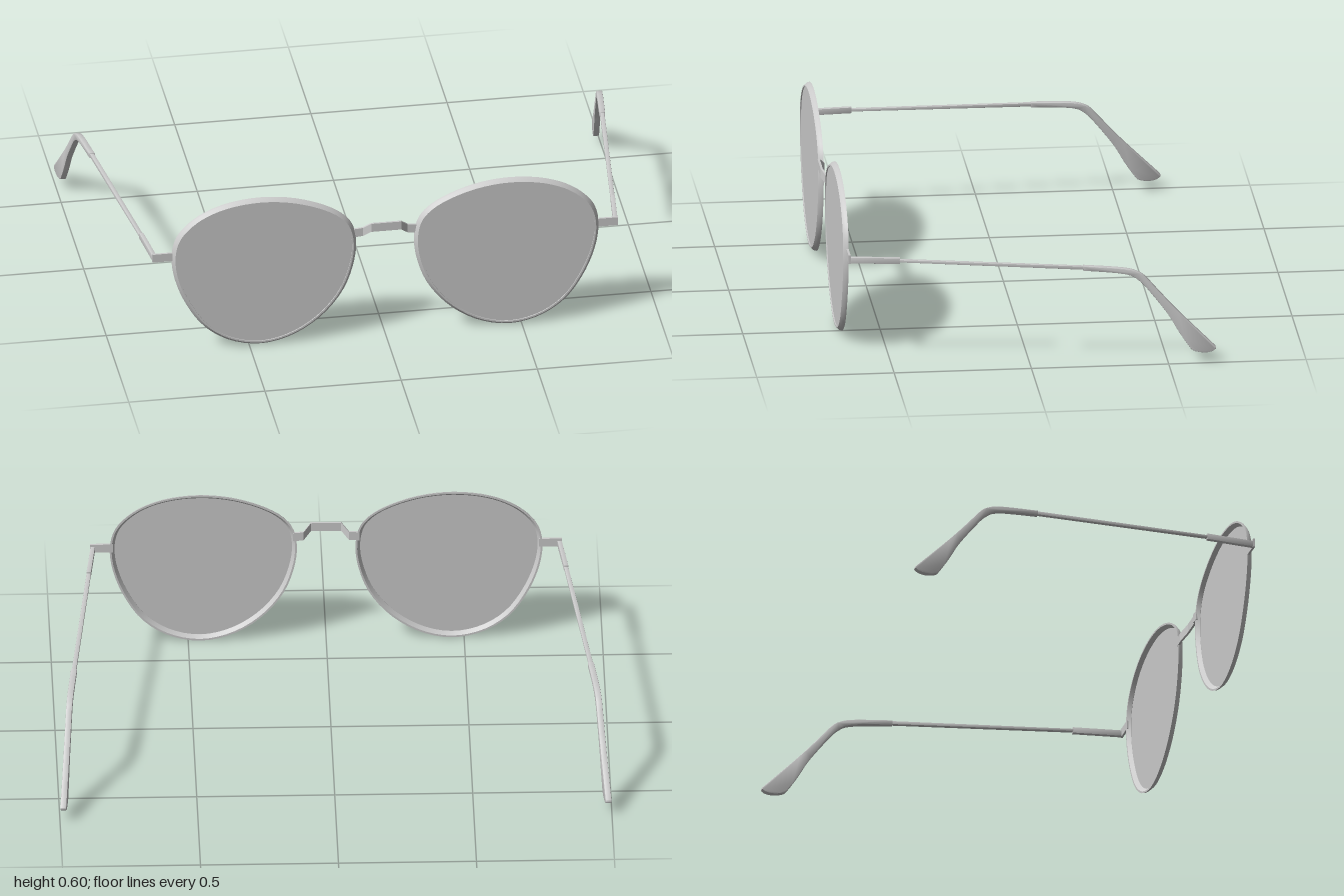
import * as THREE from 'three';
import { toCreasedNormals } from 'three/addons/utils/BufferGeometryUtils.js';

const material = new THREE.MeshStandardMaterial({ color: 0xcccccc });
const lensMaterial = new THREE.MeshStandardMaterial({ color: 0xcccccc, side: THREE.DoubleSide });
const BACK = 0.643, FRONT = 0.662;   // depth range of the rims
const LENS_CENTER = [0.446, 0.31];

// Lens outline, counter-clockwise from the outer side
const OUTLINE = [
  [0.784, 0.40], [0.768, 0.468], [0.73, 0.518], [0.67, 0.562], [0.58, 0.596], [0.46, 0.61],
  [0.34, 0.597], [0.23, 0.56], [0.16, 0.518], [0.122, 0.472], [0.106, 0.40], [0.115, 0.31],
  [0.155, 0.20], [0.235, 0.10], [0.34, 0.032], [0.455, 0.006], [0.57, 0.03], [0.665, 0.095],
  [0.735, 0.20], [0.775, 0.31],
];

function add(group, name, geometry, mat = material) {
  const mesh = new THREE.Mesh(geometry, mat);
  mesh.name = name;
  group.add(mesh);
}

// Smooth outline for one side, pulled in towards the lens centre
function outline(side, inset) {
  const curve = new THREE.CatmullRomCurve3(
    OUTLINE.map(([x, y]) => new THREE.Vector3(x, y, 0)), true);
  const pts = curve.getPoints(72).slice(0, -1).map((p) => {
    const dx = p.x - LENS_CENTER[0], dy = p.y - LENS_CENTER[1];
    const k = 1 - inset / Math.hypot(dx, dy);
    return new THREE.Vector2(side * (LENS_CENTER[0] + dx * k), LENS_CENTER[1] + dy * k);
  });
  return side < 0 ? pts.reverse() : pts;
}

// Thin band that narrows towards the front
function rimGeometry(side) {
  const section = [[0, BACK], [0.002, 0.651], [0.012, FRONT], [0.018, FRONT], [0.018, 0.657], [0.007, BACK]];
  const rings = section.map(([inset, z]) => outline(side, inset).map((p) => [p.x, p.y, z]));
  const n = rings[0].length, m = rings.length, index = [];
  for (let r = 0; r < m; r++) {
    for (let i = 0; i < n; i++) {
      const j = (i + 1) % n, q = (r + 1) % m;
      const a = r * n + i, b = r * n + j, c = q * n + j, d = q * n + i;
      index.push(a, b, c, a, c, d);
    }
  }
  const geometry = new THREE.BufferGeometry();
  geometry.setAttribute('position', new THREE.Float32BufferAttribute(rings.flat(2), 3));
  geometry.setIndex(index);
  return toCreasedNormals(geometry, 0.6);
}

// Temple piece: a side profile of [z, y] points, given a width and splayed outwards
function templeGeometry(side, profile, width, bevel) {
  const shape = new THREE.Shape(profile.map(([z, y]) => new THREE.Vector2(z, y)));
  const geometry = new THREE.ExtrudeGeometry(shape, {
    depth: width - 2 * bevel, bevelEnabled: bevel > 0, bevelSize: bevel,
    bevelThickness: bevel, bevelOffset: -bevel, bevelSegments: 2,
  });
  geometry.translate(0, 0, bevel - width / 2).rotateY(-Math.PI / 2);
  const pos = geometry.attributes.position;
  for (let i = 0; i < pos.count; i++) {
    pos.setX(i, pos.getX(i) + side * (0.846 + (BACK - pos.getZ(i)) * 0.108));
  }
  return toCreasedNormals(geometry, 0.6);
}

// Upright ribbon following [x, y, z] points
function ribbonGeometry(path, height, thickness) {
  const h = height / 2, t = thickness / 2, pos = [], index = [];
  for (const [x, y, z] of path) {
    pos.push(x, y - h, z + t, x, y + h, z + t, x, y + h, z - t, x, y - h, z - t);
  }
  for (let s = 0; s < path.length - 1; s++) {
    for (let k = 0; k < 4; k++) {
      const a = s * 4 + k, b = s * 4 + (k + 1) % 4;
      index.push(a, a + 4, b + 4, a, b + 4, b);
    }
  }
  const e = (path.length - 1) * 4;
  index.push(0, 1, 2, 0, 2, 3, e, e + 2, e + 1, e, e + 3, e + 2);
  const geometry = new THREE.BufferGeometry();
  geometry.setAttribute('position', new THREE.Float32BufferAttribute(pos, 3));
  geometry.setIndex(index);
  return toCreasedNormals(geometry, 0.4);
}

// Curved ear tip: top edge going back, then the underside returning
function tipProfile() {
  const curve = (pts, n) => new THREE.SplineCurve(pts.map(([z, y]) => new THREE.Vector2(z, y)))
    .getPoints(n).map((p) => [p.x, p.y]);
  const top = curve([[-0.195, 0.372], [-0.30, 0.366], [-0.357, 0.360], [-0.39, 0.350],
    [-0.418, 0.332], [-0.466, 0.278], [-0.538, 0.199], [-0.672, 0.065]], 28);
  const under = curve([[-0.673, 0.058], [-0.657, 0.047], [-0.628, 0.043], [-0.592, 0.05],
    [-0.574, 0.069], [-0.538, 0.123], [-0.50, 0.188], [-0.44, 0.267], [-0.394, 0.318],
    [-0.34, 0.342], [-0.195, 0.354]], 36);
  return [...top, ...under];
}

export function createModel() {
  const model = new THREE.Group();
  model.name = 'glasses';

  // Bridge steps forward and up between the lenses
  const half = [[0.12, 0.432, 0.646], [0.082, 0.435, 0.646], [0.055, 0.461, 0.667]];
  const mirrored = half.map(([x, y, z]) => [-x, y, z]);
  add(model, 'bridge', ribbonGeometry([...mirrored, ...half.slice().reverse()], 0.033, 0.008));

  for (const [side, name] of [[1, 'left'], [-1, 'right']]) {
    const group = new THREE.Group();
    group.name = name + 'Side';
    model.add(group);

    // Rim and lens
    add(group, name + 'Rim', rimGeometry(side));
    const lens = new THREE.ShapeGeometry(new THREE.Shape(outline(side, 0.014)));
    lens.translate(0, 0, 0.658);
    add(group, name + 'Lens', lens, lensMaterial);

    // End piece joining rim and temple
    const plate = new THREE.BoxGeometry(0.083, 0.032, 0.008);
    plate.translate(side * 0.8135, 0.395, 0.647);
    add(group, name + 'EndPiece', plate);

    // Temple: hinge block, slim arm, ear tip
    add(group, name + 'Hinge', templeGeometry(side,
      [[0.645, 0.402], [0.465, 0.400], [0.465, 0.378], [0.645, 0.380]], 0.016, 0.001));
    add(group, name + 'Arm', templeGeometry(side,
      [[0.47, 0.394], [-0.20, 0.370], [-0.20, 0.357], [0.47, 0.384]], 0.016, 0.002));
    add(group, name + 'EarTip', templeGeometry(side, tipProfile(), 0.022, 0.003));
  }
  return model;
}
